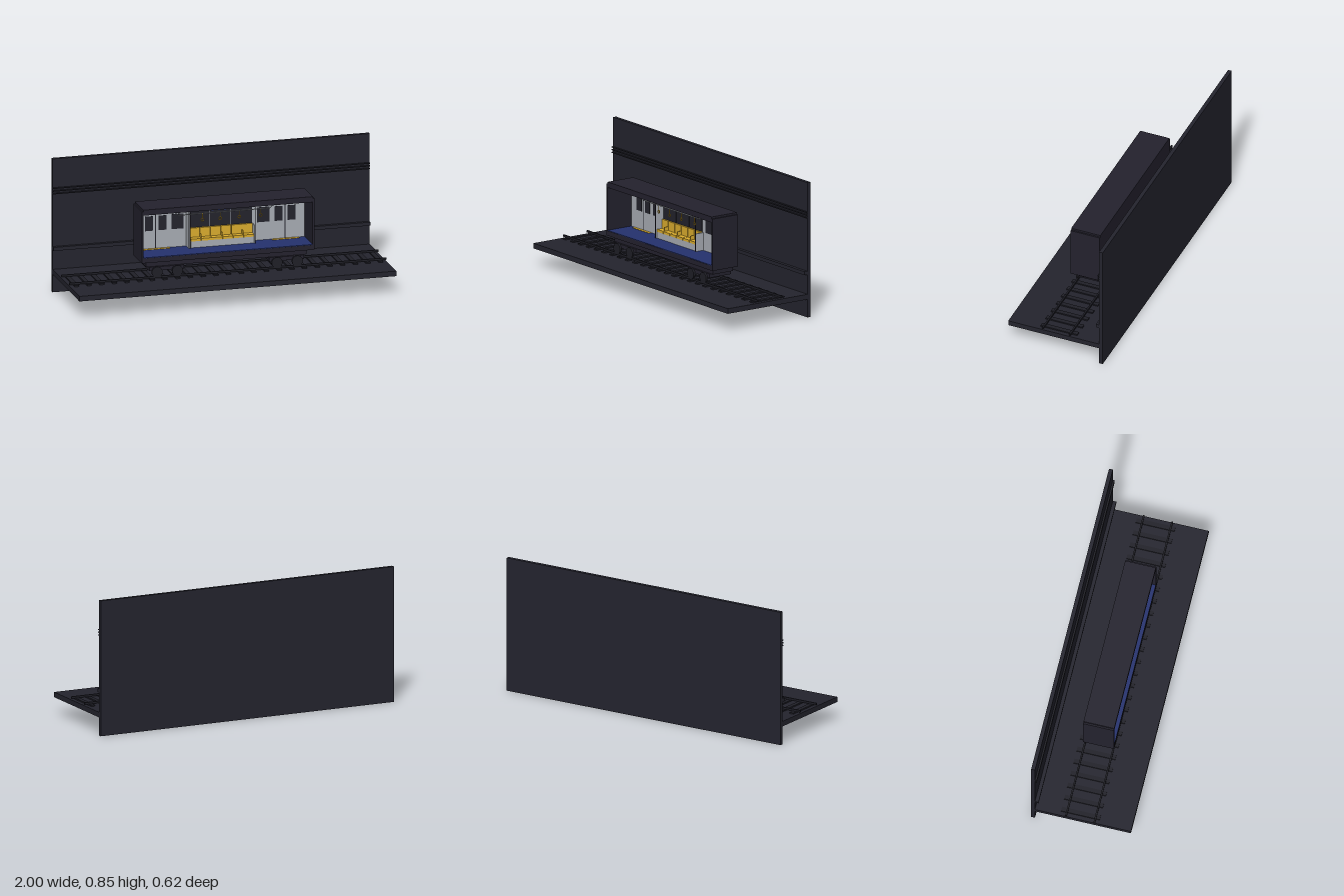
import * as THREE from 'three';

const mat = (name, color) => {
  const m = new THREE.MeshStandardMaterial({ color });
  m.name = name;
  return m;
};

export function createModel() {
  const tunnel = mat('tunnelDark', 0x24242e);
  const track = mat('trackDark', 0x1f1f27);
  const shell = mat('carShell', 0x24222e);
  const glass = mat('windowDark', 0x23232c);
  const grey = mat('panelGrey', 0xa9aeb5);
  const yellow = mat('seatYellow', 0xdcae2e);
  const blue = mat('floorBlue', 0x25326f);

  const root = new THREE.Group();
  root.name = 'metroDiorama';
  const group = (name) => {
    const g = new THREE.Group();
    g.name = name;
    root.add(g);
    return g;
  };
  const put = (parent, name, geo, m, x = 0, y = 0, z = 0) => {
    const mesh = new THREE.Mesh(geo, m);
    mesh.name = name;
    mesh.position.set(x, y, z);
    parent.add(mesh);
    return mesh;
  };
  // Box given by its limits on each axis
  const box = (parent, name, m, x0, x1, y0, y1, z0, z1) =>
    put(parent, name, new THREE.BoxGeometry(x1 - x0, y1 - y0, z1 - z0), m,
      (x0 + x1) / 2, (y0 + y1) / 2, (z0 + z1) / 2);

  // Tunnel wall, ledge, cables and ground
  const tun = group('tunnel');
  box(tun, 'backWall', tunnel, -1, 1, 0, 0.845, -0.312, -0.288);
  box(tun, 'ground', tunnel, -1, 1, 0.113, 0.145, -0.288, 0.312);
  box(tun, 'wallLedge', tunnel, -1, 1, 0.268, 0.29, -0.288, -0.266);
  for (const y of [0.626, 0.643, 0.66])
    box(tun, 'wallCable', track, -1, 1, y - 0.003, y + 0.003, -0.288, -0.277);

  // Sleepers and rails
  const rails = group('track');
  for (let i = 0; i < 25; i++) {
    const x = -0.96 + i * 0.08;
    box(rails, 'sleeper', track, x - 0.014, x + 0.014, 0.145, 0.153, -0.132, 0.11);
  }
  for (const z of [-0.094, 0.083])
    box(rails, 'rail', track, -1, 1, 0.153, 0.165, z - 0.005, z + 0.005);

  // Car shell, open at the front
  const car = group('carBody');
  box(car, 'floorSlab', shell, -0.545, 0.545, 0.255, 0.285, -0.098, 0.094);
  box(car, 'floor', blue, -0.533, 0.533, 0.285, 0.289, -0.086, 0.093);
  box(car, 'roof', shell, -0.545, 0.545, 0.557, 0.58, -0.098, 0.094);
  box(car, 'roofTop', shell, -0.535, 0.535, 0.58, 0.592, -0.098, 0.094);
  box(car, 'rearSkin', shell, -0.545, 0.545, 0.285, 0.557, -0.098, -0.09);
  box(car, 'innerWall', grey, -0.533, 0.533, 0.285, 0.557, -0.09, -0.084);
  for (const s of [-1, 1]) {
    const e = box(car, 'endWall', shell, -0.006, 0.006, 0.285, 0.557, -0.098, 0.094);
    e.position.x = s * 0.539;
  }

  // Windows, doors and door mats, mirrored along the car
  const fit = group('wallFittings');
  const pane = (name, x, y0, y1, w, m = glass) =>
    box(fit, name, m, x - w / 2, x + w / 2, y0, y1, -0.084, -0.082);
  for (const s of [-1, 1]) {
    pane('doorGap', s * 0.408, 0.289, 0.553, 0.006);
    for (const d of [-0.042, 0.042]) pane('doorWindow', s * 0.408 + d, 0.403, 0.495, 0.05);
    pane('sideWindow', s * 0.27, 0.403, 0.497, 0.078);
    box(fit, 'doorMat', yellow, s * 0.408 - 0.085, s * 0.408 + 0.085, 0.289, 0.291, -0.082, -0.062);
  }
  for (let i = -1; i <= 1; i++) pane('centreWindow', i * 0.1333, 0.4, 0.528, 0.13);
  box(fit, 'displayPanel', blue, -0.068, 0.066, 0.503, 0.53, -0.082, -0.078);

  // Bench of six seats between two partitions
  const bench = group('bench');
  box(bench, 'benchBase', grey, -0.2, 0.2, 0.289, 0.33, -0.084, -0.034);
  for (let i = 0; i < 6; i++) {
    const x = -0.1667 + i * 0.0667;
    box(bench, 'seatCushion', yellow, x - 0.032, x + 0.032, 0.33, 0.345, -0.082, -0.032);
    box(bench, 'seatBack', yellow, x - 0.032, x + 0.032, 0.345, 0.403, -0.082, -0.07);
  }
  for (const x of [-0.133, 0, 0.133])
    box(bench, 'armrest', yellow, x - 0.002, x + 0.002, 0.345, 0.37, -0.07, -0.04);
  box(bench, 'leftPartition', grey, 0.2, 0.207, 0.289, 0.4, -0.084, -0.03);
  box(bench, 'rightPartition', grey, -0.215, -0.203, 0.289, 0.55, -0.084, -0.03);
  for (const x of [-0.208, 0.205])
    put(bench, 'pole', new THREE.CylinderGeometry(0.003, 0.003, 0.268, 8), shell, x, 0.423, -0.027);

  // Overhead rail with bent ends and hanging handles
  const grips = group('overheadRail');
  const pts = [[-0.33, 0.553], [-0.29, 0.513], [0.29, 0.513], [0.33, 0.553]]
    .map(([x, y]) => new THREE.Vector3(x, y, 0));
  const path = new THREE.CurvePath();
  for (let i = 0; i < 3; i++) path.add(new THREE.LineCurve3(pts[i], pts[i + 1]));
  put(grips, 'handrail', new THREE.TubeGeometry(path, 60, 0.003, 6), grey);
  for (const x of [-0.136, -0.024, 0.096, 0.232]) {
    box(grips, 'strap', yellow, x - 0.002, x + 0.002, 0.482, 0.513, -0.002, 0.002);
    put(grips, 'handle', new THREE.TorusGeometry(0.009, 0.0028, 6, 12), yellow, x, 0.473, 0);
  }

  // Underframe, bogies and wheels
  const under = group('underframe');
  box(under, 'chassis', shell, -0.51, 0.505, 0.22, 0.255, -0.088, 0.06);
  for (const c of [-0.382, 0.375]) {
    box(under, 'bogieFrame', shell, c - 0.11, c + 0.11, 0.196, 0.22, -0.088, 0.073);
    for (const d of [-0.064, 0.064]) {
      const wheel = put(under, 'wheel', new THREE.CylinderGeometry(0.034, 0.034, 0.012, 20),
        track, c + d, 0.19, 0.083);
      wheel.rotation.x = Math.PI / 2;
    }
  }
  return root;
}
